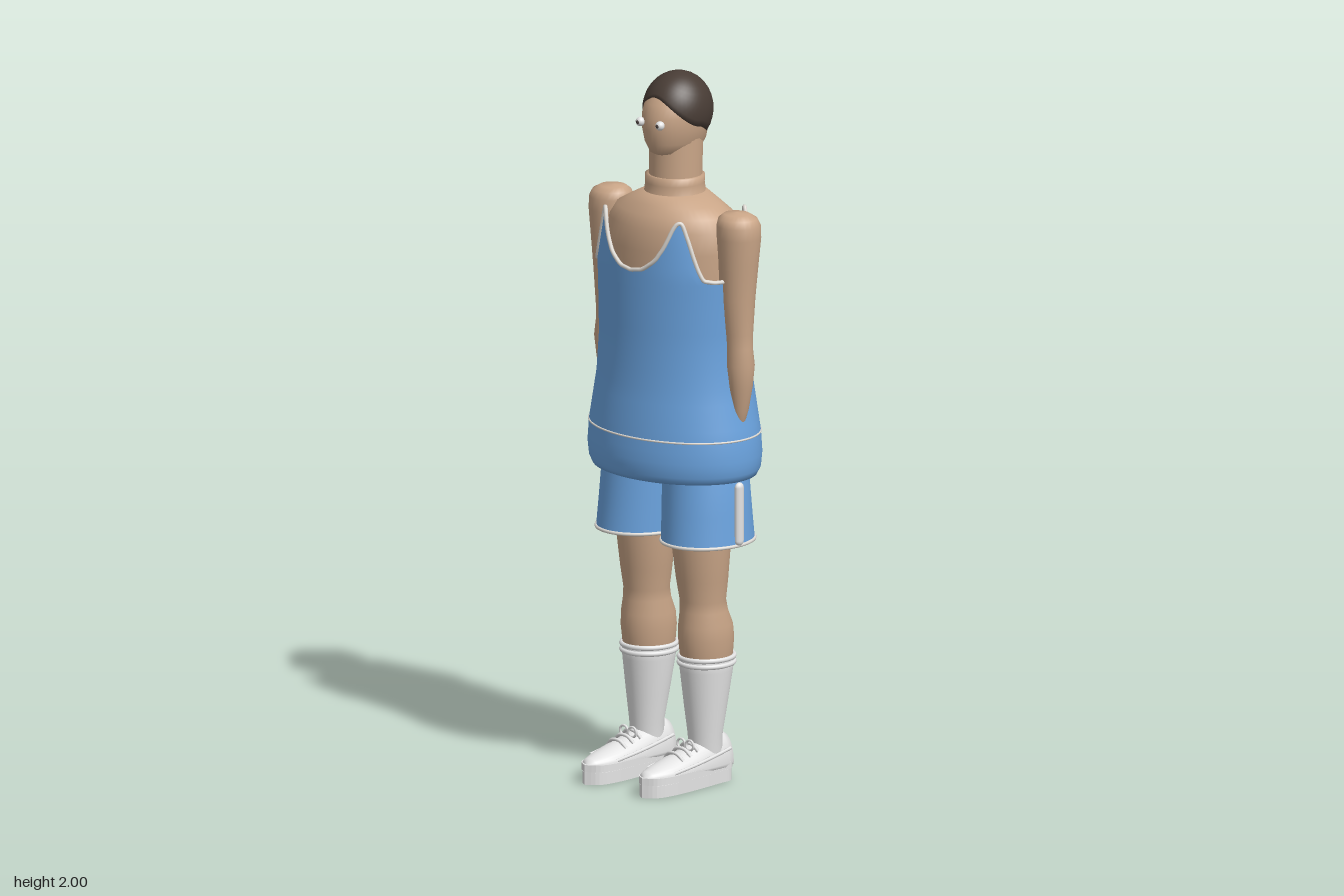
import * as THREE from 'three';

const mat = (name, color, side = THREE.FrontSide) => {
  const m = new THREE.MeshStandardMaterial({ color, side });
  m.name = name;
  return m;
};

// Closed-loop surface: fn(row, angle) -> [x, y, z]
function surface(rows, cols, fn) {
  const pos = [], idx = [];
  for (let i = 0; i < rows; i++)
    for (let j = 0; j < cols; j++) pos.push(...fn(i, (j / cols) * Math.PI * 2));
  for (let i = 0; i < rows - 1; i++)
    for (let j = 0; j < cols; j++) {
      const k = (j + 1) % cols;
      const a = i * cols + j, b = i * cols + k, c = (i + 1) * cols + k, d = (i + 1) * cols + j;
      idx.push(a, b, c, a, c, d);
    }
  const g = new THREE.BufferGeometry();
  g.setAttribute('position', new THREE.Float32BufferAttribute(pos, 3));
  g.setIndex(idx);
  g.computeVertexNormals();
  return g;
}

// Stack of ellipses, bottom to top: [y, cx, cz, rx, rz]
const loft = (s, cols = 32) => surface(s.length, cols, (i, t) => {
  const [y, cx, cz, rx, rz] = s[i];
  return [cx + rx * Math.sin(t), y, cz + rz * Math.cos(t)];
});

// Piecewise linear lookup in [[key, v1, v2...], ...]
function lookup(table, k) {
  let i = 0;
  while (i < table.length - 2 && k > table[i + 1][0]) i++;
  const a = table[i], b = table[i + 1];
  const t = THREE.MathUtils.clamp((k - a[0]) / (b[0] - a[0]), 0, 1);
  return a.slice(1).map((v, n) => v + (b[n + 1] - v) * t);
}

const tube = (pts, r, closed = false) => new THREE.TubeGeometry(
  new THREE.CatmullRomCurve3(pts.map(p => new THREE.Vector3(...p)), closed), pts.length * 3, r, 8, closed);

// Ellipse ring lying flat
const ring = (y, cx, cz, rx, rz, r) => tube(Array.from({ length: 24 }, (_, i) => {
  const t = (i / 24) * Math.PI * 2;
  return [cx + rx * Math.sin(t), y, cz + rz * Math.cos(t)];
}), r, true);

export function createModel() {
  const model = new THREE.Group();
  model.name = 'athlete';
  const skin = mat('skin', 0xc9a587);
  const blue = mat('blue cloth', 0x6ba4e0, THREE.DoubleSide);
  const white = mat('white', 0xe4e4e4);
  const trim = mat('trim', 0xdedad4);
  const hair = mat('hair', 0x483c35, THREE.DoubleSide);
  const dark = mat('iris', 0x4c4240);
  const add = (name, geo, m, parent = model) => {
    const mesh = new THREE.Mesh(geo, m);
    mesh.name = name;
    parent.add(mesh);
    return mesh;
  };
  const Z = -0.023;

  // Head, neck and body
  add('head', loft([[1.762, 0, -0.025, 0, 0], [1.767, 0, -0.025, 0.035, 0.055], [1.782, 0, -0.025, 0.056, 0.084],
    [1.81, 0, -0.025, 0.072, 0.097], [1.85, 0, -0.025, 0.081, 0.104], [1.885, 0, -0.025, 0.083, 0.103],
    [1.92, 0, -0.028, 0.08, 0.094], [1.95, 0, -0.033, 0.066, 0.076], [1.98, 0, -0.035, 0.03, 0.04],
    [1.985, 0, -0.035, 0, 0]], 40), skin);
  add('neck', loft([[1.62, 0, -0.026, 0.075, 0.075], [1.74, 0, -0.026, 0.074, 0.074],
    [1.85, 0, -0.03, 0.074, 0.074]]), skin);
  add('neckBase', loft([[1.63, 0, Z, 0.1, 0.095], [1.665, 0, Z, 0.086, 0.084], [1.69, 0, Z, 0.083, 0.081],
    [1.711, 0, Z, 0.084, 0.081], [1.712, 0, Z, 0.07, 0.07]]), skin);
  add('torso', loft([[0.95, 0, Z, 0.2, 0.15], [1.2, 0, Z, 0.2, 0.15], [1.4, 0, Z, 0.21, 0.153],
    [1.52, 0, Z, 0.214, 0.152], [1.58, 0, Z, 0.208, 0.143], [1.615, 0, Z, 0.185, 0.128],
    [1.64, 0, Z, 0.14, 0.108], [1.665, 0, Z, 0.09, 0.088], [1.68, 0, Z, 0, 0]], 48), skin);

  // Hair cap: low at the back, arched over the face
  add('hair', surface(13, 48, (i, t) => {
    const c = Math.cos(t);
    const edge = 1.857 + (c > 0 ? 0.083 * c * c : 0.043 * c);
    const low = Math.asin((edge - 1.893) / 0.107);
    const a = low + (Math.PI / 2 - low) * Math.max(0, i - 1) / 11;
    const k = Math.cos(a) * (i === 0 ? 0.86 : 1);
    return [0.094 * k * Math.sin(t), 1.893 + 0.107 * Math.sin(a), -0.035 + 0.103 * k * c];
  }), hair);

  // Jersey shell with shaped neckline and armholes
  const girth = [[0.88, 0.255, 0.19], [0.9, 0.266, 0.198], [0.94, 0.27, 0.202], [1.0, 0.266, 0.198],
    [1.06, 0.255, 0.192], [1.14, 0.241, 0.183], [1.25, 0.233, 0.178], [1.36, 0.236, 0.178],
    [1.46, 0.24, 0.178], [1.54, 0.223, 0.178], [1.62, 0.2, 0.182]];
  const edgeTable = [[0, 1.47], [10, 1.477], [20, 1.505], [28, 1.545], [36, 1.59], [41, 1.613], [45, 1.615],
    [48, 1.575], [52, 1.495], [56, 1.457], [65, 1.45], [90, 1.452]];
  const onJersey = (y, t, k = 1) => {
    const [rx, rz] = lookup(girth, y);
    return [rx * k * Math.sin(t), y, Z + rz * k * Math.cos(t)];
  };
  const edgeY = t => lookup(edgeTable, THREE.MathUtils.radToDeg(Math.asin(Math.min(1, Math.abs(Math.sin(t))))))[0];
  const low = [0.88, 0.89, 0.9, 0.92, 0.94, 0.97, 1.0, 1.03, 1.06, 1.1, 1.14, 1.19, 1.25, 1.3, 1.36, 1.42];
  add('jersey', surface(low.length + 10, 120, (i, t) => {
    if (i < 2) return onJersey(0.88, t, 0.5 + 0.4 * i).map((v, n) => (n === 1 ? 0.885 - 0.005 * i : v));
    i -= 2;
    if (i < low.length) return onJersey(low[i], t);
    return onJersey(1.42 + (edgeY(t) - 1.42) * (i - low.length + 1) / 8, t);
  }), blue);
  add('jerseyTrim', tube(Array.from({ length: 120 }, (_, i) => {
    const t = (i / 120) * Math.PI * 2;
    return onJersey(edgeY(t), t);
  }), 0.006, true), trim);
  add('jerseyHemLine', ring(1.0, 0, Z, 0.266, 0.198, 0.003), trim);

  for (const s of [1, -1]) {
    const side = s > 0 ? 'left' : 'right';

    // Eye
    const eye = new THREE.SphereGeometry(0.013, 20, 14);
    add(side + 'Eye', eye, white).position.set(s * 0.037, 1.87, 0.077);
    add(side + 'Iris', new THREE.SphereGeometry(0.0075, 16, 12), dark).position.set(s * 0.037, 1.87, 0.0836);

    // Arm, tapering to the wrist
    add(side + 'Arm', loft([[1.025, 0.242, -0.025, 0, 0], [1.035, 0.243, -0.025, 0.01, 0.012],
      [1.08, 0.245, -0.024, 0.022, 0.024], [1.15, 0.248, -0.022, 0.034, 0.034], [1.21, 0.248, -0.021, 0.041, 0.039],
      [1.26, 0.244, -0.021, 0.04, 0.035], [1.3, 0.241, -0.021, 0.043, 0.038], [1.4, 0.238, -0.021, 0.05, 0.048],
      [1.5, 0.24, -0.022, 0.057, 0.055], [1.57, 0.241, Z, 0.063, 0.06], [1.605, 0.24, Z, 0.063, 0.06],
      [1.625, 0.237, Z, 0.056, 0.052], [1.637, 0.233, Z, 0.038, 0.035], [1.641, 0.231, Z, 0, 0]]
      .map(([y, x, ...r]) => [y, s * x, ...r]), 24), skin);

    // Shorts leg with hem and side stripe
    add(side + 'ShortsLeg', loft([[0.695, s * 0.122, -0.025, 0.121, 0.138], [0.78, s * 0.118, -0.025, 0.118, 0.132],
      [0.88, s * 0.114, -0.025, 0.115, 0.125], [0.96, s * 0.105, -0.025, 0.105, 0.12]], 40), blue);
    add(side + 'ShortsHem', ring(0.695, s * 0.122, -0.025, 0.121, 0.138, 0.005), trim);
    const stripe = add(side + 'ShortsStripe', new THREE.CapsuleGeometry(0.015, 0.15, 6, 12), white);
    stripe.scale.x = 0.7;
    stripe.position.set(s * 0.244, 0.785, -0.021);

    // Leg and sock
    add(side + 'Leg', loft([[0.3, s * 0.108, -0.035, 0.06, 0.065], [0.36, s * 0.108, -0.034, 0.07, 0.076],
      [0.41, s * 0.108, -0.033, 0.074, 0.081], [0.45, s * 0.108, -0.031, 0.073, 0.078],
      [0.49, s * 0.107, -0.025, 0.066, 0.067], [0.52, s * 0.106, -0.022, 0.065, 0.063],
      [0.58, s * 0.105, -0.02, 0.074, 0.07], [0.69, s * 0.104, -0.017, 0.086, 0.08],
      [0.9, s * 0.104, -0.017, 0.095, 0.09]]), skin);
    add(side + 'Sock', loft([[0.08, s * 0.11, -0.03, 0.045, 0.047], [0.14, s * 0.11, -0.027, 0.049, 0.048],
      [0.22, s * 0.109, -0.03, 0.06, 0.06], [0.32, s * 0.108, -0.034, 0.071, 0.076],
      [0.36, s * 0.108, -0.035, 0.075, 0.081], [0.361, s * 0.108, -0.035, 0.065, 0.07]]), white);
    for (const y of [0.341, 0.358])
      add(side + 'SockCuff', ring(y, s * 0.108, -0.035, 0.073, 0.079, 0.007), white);

    // Shoe: two sole layers, upper, side strips and laces
    const shoe = new THREE.Group();
    shoe.name = side + 'Shoe';
    shoe.position.x = s * 0.108;
    model.add(shoe);
    const plan = [[0, -0.225], [0.032, -0.2], [0.046, -0.15], [0.049, -0.06], [0.045, 0.04], [0.041, 0.09], [0, 0.115]];
    const outline = k => {
      const half = plan.map(([x, y]) => new THREE.Vector2(x * k, y));
      const back = half.slice(1, -1).reverse().map(p => new THREE.Vector2(-p.x, p.y));
      return new THREE.Shape(new THREE.SplineCurve([...half, ...back, half[0]]).getPoints(48));
    };
    [[0, 0.034, 1], [0.036, 0.02, 1.1], [0.03, 0.01, 0.94]].forEach(([y, depth, k]) => {
      const g = new THREE.ExtrudeGeometry(outline(k), { depth, bevelEnabled: false });
      g.rotateX(-Math.PI / 2);
      add('sole', g, white, shoe).position.y = y;
    });
    const ribs = [[-0.118, 0, 0], [-0.115, 0.022, 0.045], [-0.1, 0.042, 0.077], [-0.075, 0.05, 0.091],
      [-0.04, 0.052, 0.087], [0, 0.053, 0.074], [0.06, 0.054, 0.055], [0.12, 0.053, 0.04],
      [0.17, 0.043, 0.028], [0.205, 0.028, 0.019], [0.22, 0, 0]];
    add('shoeUpper', surface(ribs.length, 28, (i, t) => {
      const [z, w, h] = ribs[i];
      return [w * Math.cos(t), 0.052 + h * Math.max(-0.1, Math.sin(t)), z];
    }), white, shoe);
    for (const q of [1, -1])
      add('sideStrip', tube([[q * 0.051, 0.063, 0.15], [q * 0.054, 0.074, 0.06], [q * 0.052, 0.085, -0.02],
        [q * 0.048, 0.094, -0.08]], 0.005), white, shoe);
    [[0.035, 0.12], [0.065, 0.111], [0.095, 0.103]].forEach(([z, y]) =>
      add('lace', tube([[-0.035, y - 0.018, z], [-0.015, y, z + 0.004], [0.015, y, z + 0.004],
        [0.035, y - 0.018, z]], 0.005), white, shoe));
    for (const q of [1, -1])
      add('laceLoop', new THREE.TorusGeometry(0.014, 0.0035, 8, 18), white, shoe).position.set(q * 0.016, 0.12, 0.05);
  }
  return model;
}
